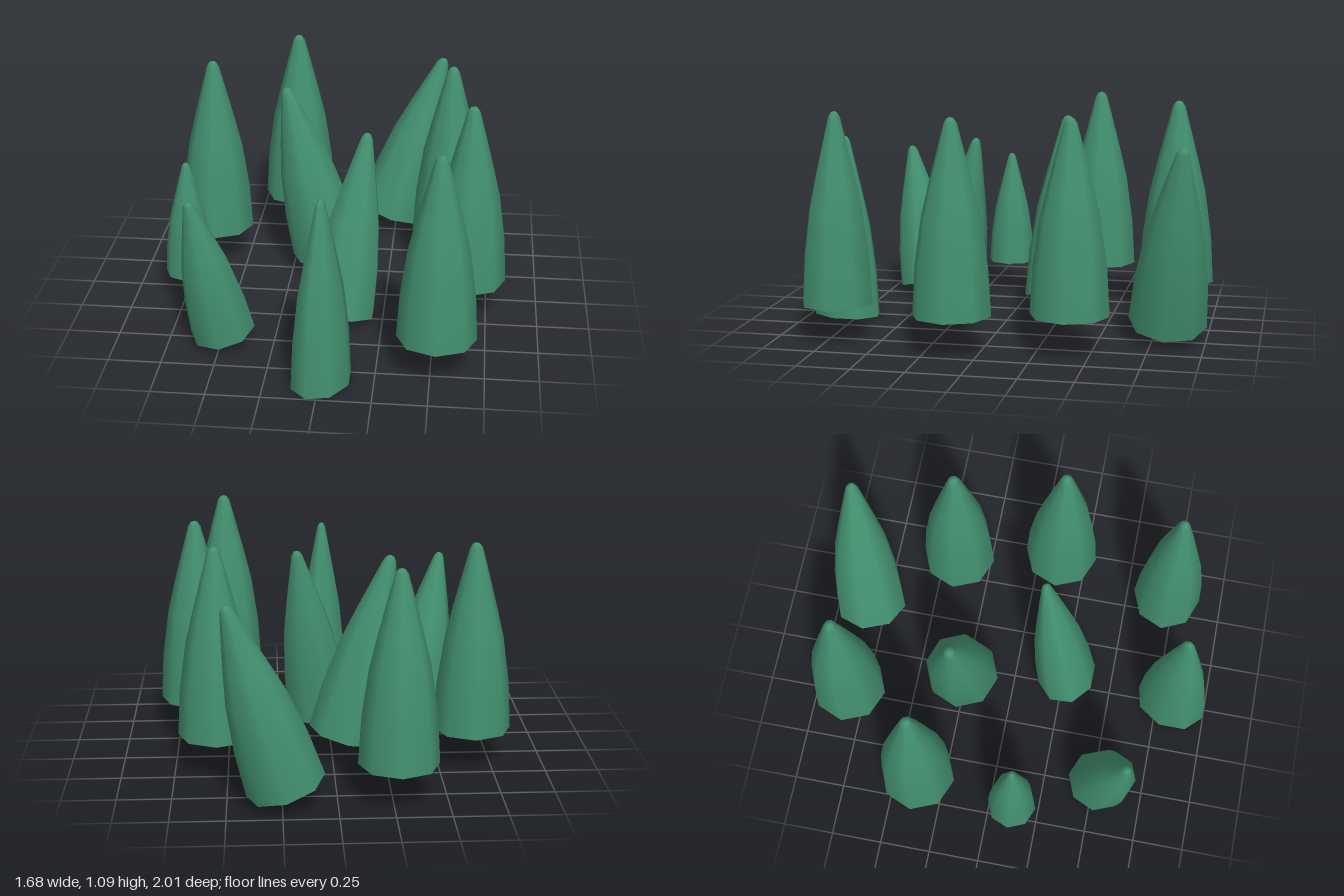
import * as THREE from 'three';

// Bullet-shaped spike profile: [radius, height], both from 0 to 1
const PROFILE = [[1, 0], [0.925, 0.25], [0.75, 0.5], [0.55, 0.67], [0.36, 0.82], [0.165, 0.97], [0.09, 0.993], [0, 1]];

// Each spike: base centre, tip, radius across x and z, turn about its axis, start angle of its eight sides
const upright = (x, z, y0, y1, rx, rz = rx, turn = 0) =>
  ({ base: [x, y0, z], tip: [x, y1, z], rx, rz, turn, phase: 0 });
const leaning = (base, tip, rx, rz = rx, phase = 0) => ({ base, tip, rx, rz, turn: 0, phase });

const SPIKES = {
  backLeftSpike: upright(-0.275, -0.81, 0.18, 1.085, 0.185),
  leftSpike: upright(-0.66, -0.37, 0.18, 1.085, 0.185),
  rightBackSpike: upright(0.547, -0.403, 0.18, 1.085, 0.185),
  rightSpike: upright(0.655, 0.122, 0.18, 1.085, 0.185),
  rightFrontSpike: upright(0.525, 0.705, 0.18, 1.085, 0.185, 0.171),
  smallSpike: upright(-0.72, 0.12, 0.155, 0.74, 0.12),
  frontSpike: upright(0.008, 0.823, 0, 0.905, 0.135, 0.182, -0.3),
  leaningBackSpike: leaning([0.235, 0.09, -0.82], [0.49, 0.95, -0.9], 0.185),
  leaningMiddleSpike: leaning([-0.07, 0.12, -0.264], [-0.277, 1.0, -0.257], 0.185),
  leaningCentreSpike: leaning([0.045, 0.05, 0.265], [0.16, 0.93, 0.115], 0.172, 0.15, Math.PI / 8),
  leaningFrontSpike: leaning([-0.492, 0.065, 0.525], [-0.612, 0.78, 0.645], 0.155),
};

export function createModel() {
  const group = new THREE.Group();
  const green = new THREE.MeshStandardMaterial({ color: 0x439170, side: THREE.DoubleSide });
  green.name = 'spike green';
  const up = new THREE.Vector3(0, 1, 0);
  const points = PROFILE.map(([r, h]) => new THREE.Vector2(r, h));

  for (const [name, s] of Object.entries(SPIKES)) {
    // Open-bottomed eight-sided shell, stretched between base and tip
    const spike = new THREE.Mesh(new THREE.LatheGeometry(points, 8, s.phase), green);
    spike.name = name;
    const axis = new THREE.Vector3(...s.tip).sub(new THREE.Vector3(...s.base));
    spike.scale.set(s.rx, axis.length(), s.rz);
    spike.position.set(...s.base);
    spike.quaternion.setFromUnitVectors(up, axis.normalize())
      .multiply(new THREE.Quaternion().setFromAxisAngle(up, s.turn));
    group.add(spike);
  }
  return group;
}
